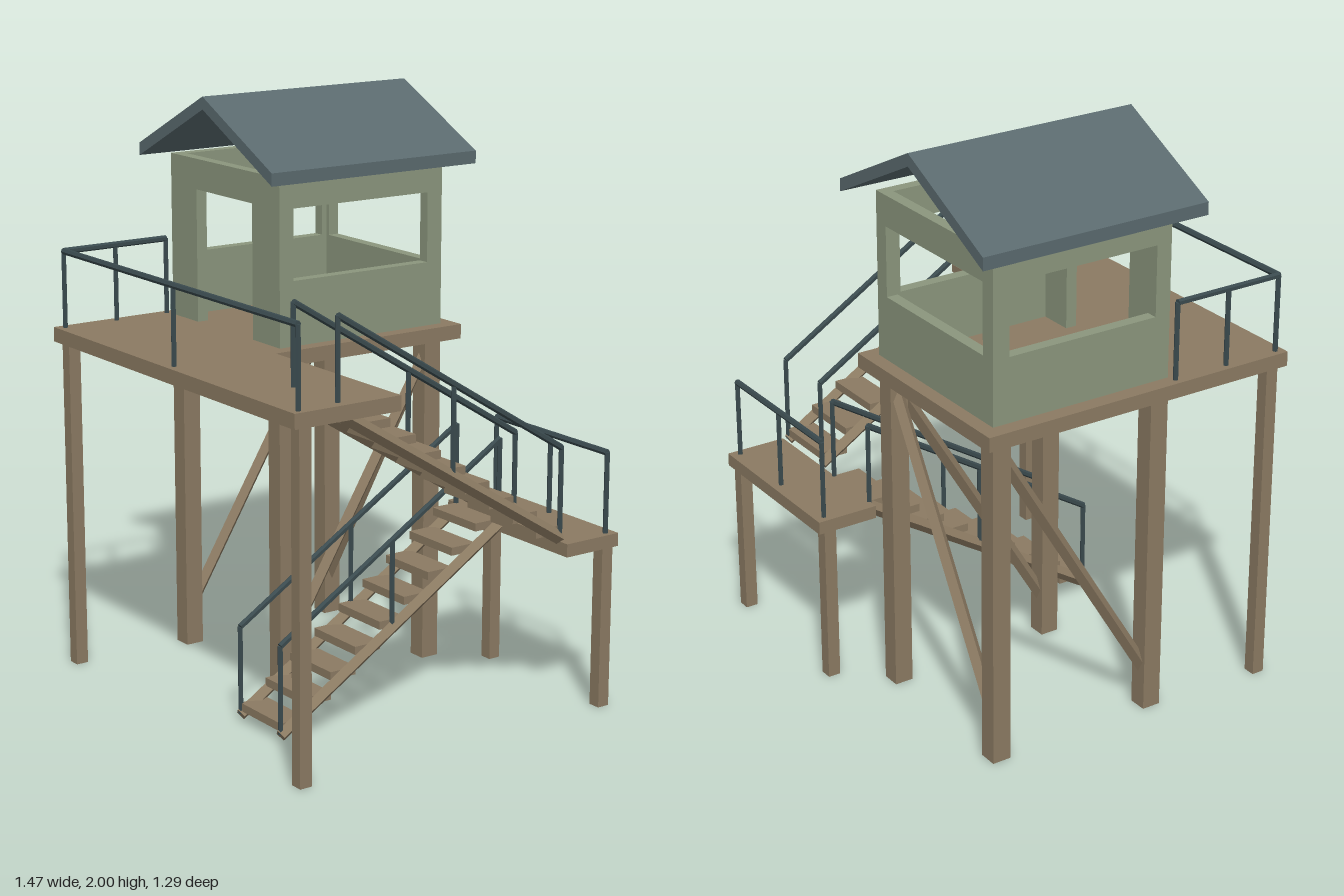
import * as THREE from 'three';

const mat = (color) => new THREE.MeshStandardMaterial({ color, flatShading: true });
const wood = mat(0x8b7a62), paint = mat(0x8b967d), slate = mat(0x5a6a6e), metal = mat(0x3a4a4e);
const V = (x, y, z) => new THREE.Vector3(x, y, z);

export function createModel() {
  const model = new THREE.Group();

  const add = (name, geometry, material) => {
    const mesh = new THREE.Mesh(geometry, material);
    mesh.name = name;
    model.add(mesh);
    return mesh;
  };

  // Box given by its minimum and maximum on each axis
  const box = (name, x0, x1, y0, y1, z0, z1, material = wood) =>
    add(name, new THREE.BoxGeometry(x1 - x0, y1 - y0, z1 - z0), material)
      .position.set((x0 + x1) / 2, (y0 + y1) / 2, (z0 + z1) / 2);

  // Straight bar between two points
  const bar = (name, a, b, radius, sides, material) => {
    const dir = b.clone().sub(a);
    const mesh = add(name, new THREE.CylinderGeometry(radius, radius, dir.length(), sides), material);
    mesh.position.copy(a).add(b).multiplyScalar(0.5);
    mesh.quaternion.setFromUnitVectors(V(0, 1, 0), dir.normalize());
  };
  const beam = (name, a, b) => bar(name, a, b, 0.023, 4, wood);

  // Handrail with three uprights below it
  const railing = (name, a, b, height) => {
    const up = V(0, height, 0);
    bar(name + 'Rail', a.clone().add(up), b.clone().add(up), 0.011, 6, metal);
    for (const t of [0, 0.5, 1]) {
      const foot = a.clone().lerp(b, t);
      bar(name + 'Upright', foot, foot.clone().add(up), 0.009, 6, metal);
    }
  };

  // Platforms
  box('cabinPlatform', -0.715, 0.05, 1.15, 1.2, -0.515, 0.25);
  box('walkway', -0.715, 0.73, 1.15, 1.2, 0.25, 0.645);
  box('landing', 0.1, 0.73, 0.555, 0.6, -0.65, -0.43);

  // Posts
  const post = (name, x, z, w, top) => box(name, x - w / 2, x + w / 2, 0, top, z - w / 2, z + w / 2);
  for (const x of [-0.627, -0.033]) for (const z of [0.17, -0.432]) post('towerPost', x, z, 0.066, 1.15);
  for (const x of [-0.667, 0.705]) post('walkwayPost', x, 0.605, 0.044, 1.15);
  for (const x of [0.125, 0.705]) post('landingPost', x, -0.607, 0.044, 0.555);

  // Diagonal braces on the back and both sides
  beam('backBrace', V(-0.627, 0.12, -0.432), V(-0.033, 1.11, -0.432));
  for (const x of [-0.627, -0.033]) beam('sideBrace', V(x, 0.12, 0.17), V(x, 1.11, -0.432));

  // Flights of stairs: stringers, treads and handrails
  const flight = (name, x0, x1, y, z, dz, treads, end) => {
    const rise = 0.6 / 9, run = dz / 9;
    for (const x of [x0, x1]) {
      beam(name + 'Stringer', V(x, y + 0.025, z), V(x, y + 0.025 + 0.555 * end, z + dz * end));
      railing(name, V(x, y + 0.03, z), V(x, y + 0.58, z + dz), 0.3);
    }
    for (let i = 1; i <= treads; i++) {
      const top = y + rise * i, zc = z + run * (i - 0.5);
      box(name + 'Tread', x0, x1, top - 0.028, top, zc - 0.05, zc + 0.05);
    }
  };
  flight('lowerStair', 0.143, 0.375, 0, 0.46, -0.89, 9, 1);
  flight('upperStair', 0.455, 0.69, 0.588, -0.43, 0.89, 8, 0.98);

  // Railings of the walkway and the landing
  railing('walkwayFront', V(-0.687, 1.2, 0.615), V(0.705, 1.2, 0.615), 0.264);
  railing('walkwaySide', V(-0.687, 1.2, 0.615), V(-0.687, 1.2, 0.21), 0.264);
  railing('landing', V(0.13, 0.6, -0.615), V(0.705, 0.6, -0.615), 0.275);

  // Cabin walls, each an outline with an opening
  const outline = (points) => points.map(([x, y]) => new THREE.Vector2(x, y));
  const rect = (x0, x1, y0, y1) => outline([[x0, y0], [x1, y0], [x1, y1], [x0, y1]]);
  const extrude = (shape, depth) => new THREE.ExtrudeGeometry(shape, { depth, bevelEnabled: false });
  const T = 0.04, base = 1.2, top = 1.765, sill = 1.42, head = 1.66;

  const front = new THREE.Shape(outline([
    [-0.66, base], [-0.5, base], [-0.5, head], [-0.16, head],
    [-0.16, base], [0, base], [0, top], [-0.66, top],
  ]));
  add('frontWall', extrude(front, T), paint).position.z = 0.2 - T;

  const back = new THREE.Shape(rect(-0.66, 0, base, top));
  back.holes.push(new THREE.Path(rect(-0.605, -0.055, sill, head)));
  add('backWall', extrude(back, T), paint).position.z = -0.465;

  const side = new THREE.Shape(rect(-0.2 + T, 0.465 - T, base, top));
  side.holes.push(new THREE.Path(rect(-0.145, 0.405, sill, head)));
  for (const x of [-0.66, -T]) {
    const wall = add('sideWall', extrude(side, T), paint);
    wall.rotation.y = Math.PI / 2;
    wall.position.x = x;
  }

  // Gable roof
  const roof = new THREE.Shape(outline([
    [-0.735, 1.755], [-0.33, 1.957], [0.075, 1.755], [0.075, 1.798], [-0.33, 2], [-0.735, 1.798],
  ]));
  add('roof', extrude(roof, 0.83), slate).position.z = -0.55;

  return model;
}
